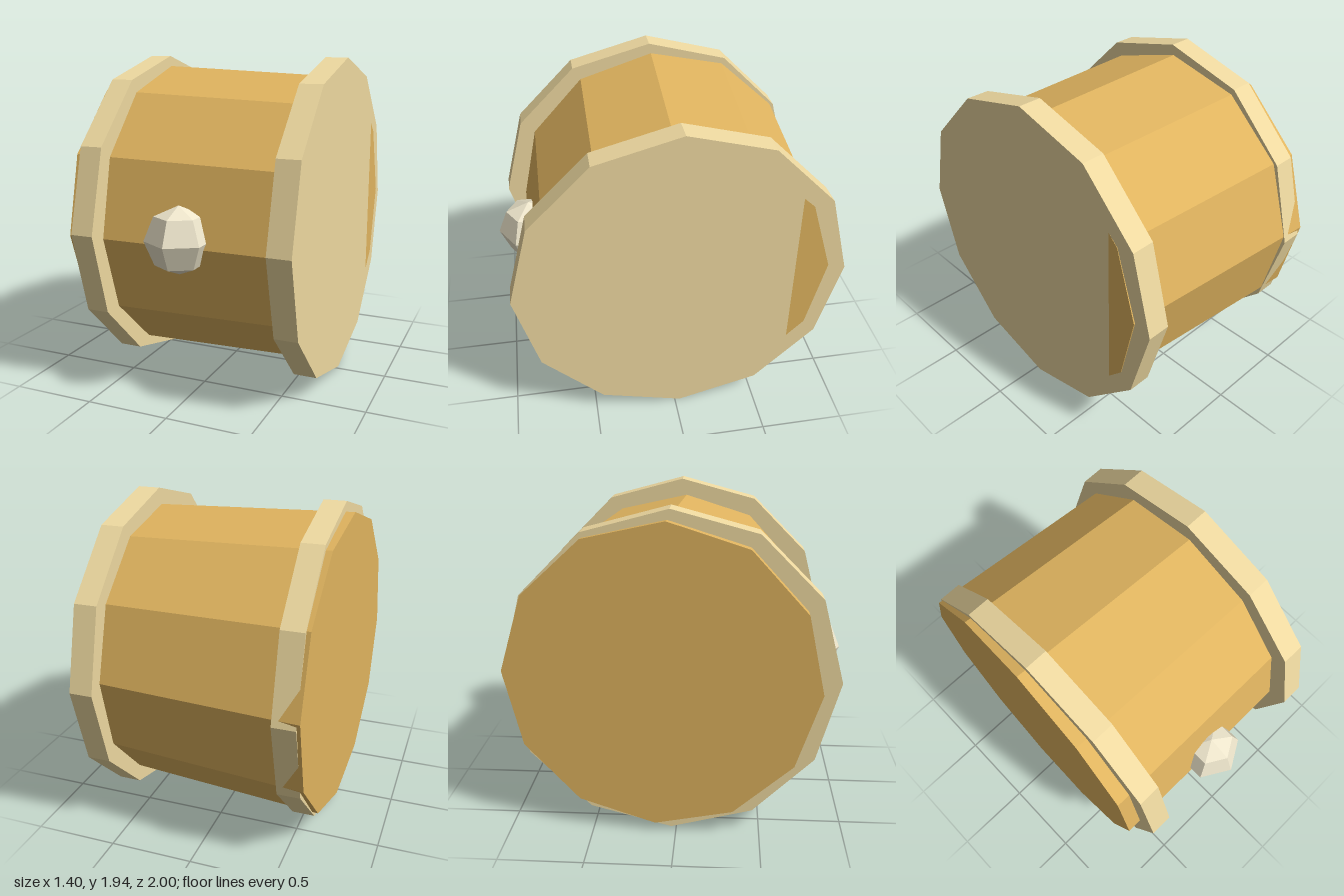
import * as THREE from 'three';

const material = (color) => new THREE.MeshStandardMaterial({ color, flatShading: true });

// Twelve-sided cylinder lying along x; rightRadius is the +x end
function drum(rightRadius, leftRadius, length) {
  return new THREE.CylinderGeometry(rightRadius, leftRadius, length, 12).rotateZ(-Math.PI / 2);
}

export function createModel() {
  const group = new THREE.Group();
  const add = (name, geometry, mat, x, y, z) => {
    const mesh = new THREE.Mesh(geometry, mat);
    mesh.name = name;
    mesh.position.set(x, y, z);
    group.add(mesh);
  };
  const centreY = 0.975;

  // Tapered body, slightly rolled and skewed inside the rims
  const body = drum(0.86, 0.915, 1.335).rotateX(0.042).rotateY(-0.0385);
  add('body', body, material(0xe0b45f), 0.0025, centreY, -0.06);

  // Solid rim discs
  const rimMaterial = material(0xeed9a0);
  for (const [name, x0, x1] of [['rightRim', -0.61, -0.475], ['leftRim', 0.557, 0.695]]) {
    add(name, drum(0.97, 0.97, x1 - x0), rimMaterial, (x0 + x1) / 2, centreY, -0.03);
  }

  // Faceted knob on the front
  const knob = new THREE.SphereGeometry(0.195, 6, 4).rotateY(Math.PI / 2);
  add('knob', knob, material(0xeee6cc), 0, centreY, 0.805);

  return group;
}
